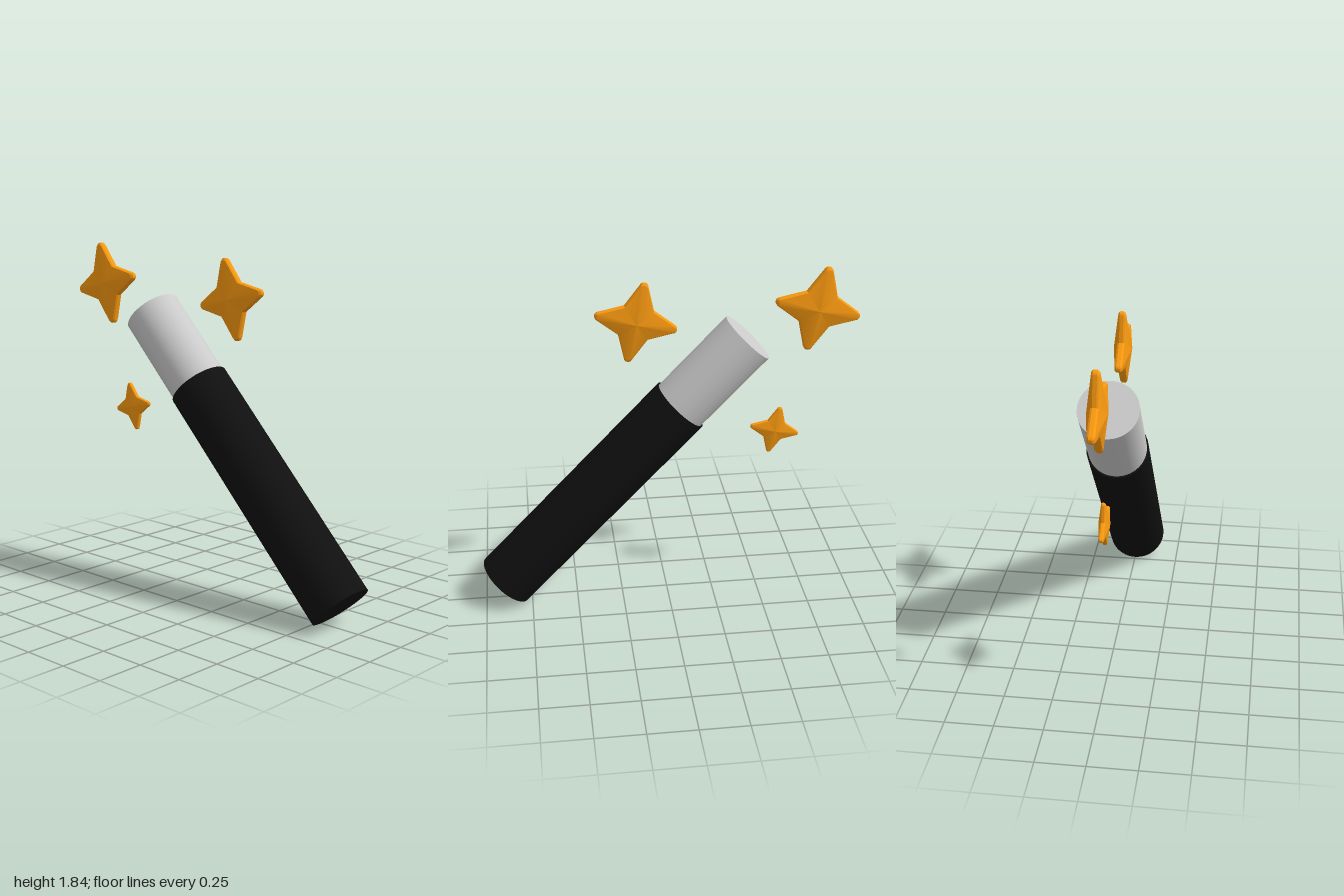
import * as THREE from 'three';
import { toCreasedNormals } from 'three/addons/utils/BufferGeometryUtils.js';

const black = new THREE.MeshStandardMaterial({ color: 0x101010 });
const grey = new THREE.MeshStandardMaterial({ color: 0xcccccc });
const gold = new THREE.MeshStandardMaterial({ color: 0xfa9a10 });

// Four-pointed star outline with blunt tips, arm length 1
function starOutline() {
  const arm = [[0.955, -0.085], [0.99, -0.05], [1, 0], [0.99, 0.05], [0.955, 0.085], [0.36, 0.36]];
  const points = [];
  for (let i = 0; i < 4; i++) {
    const c = Math.cos(i * Math.PI / 2), s = Math.sin(i * Math.PI / 2);
    for (const [x, y] of arm) points.push([x * c - y * s, x * s + y * c]);
  }
  return points;
}

// Star body: stacked outline loops with a softened rim, closed by a raised centre on each face
function starGeometry() {
  const outline = starOutline();
  const n = outline.length;
  const loops = [[0.95, -0.085], [1, -0.045], [1, 0.045], [0.95, 0.085]]; // scale, depth
  const positions = [], index = [];
  for (const [scale, z] of loops) for (const [x, y] of outline) positions.push(x * scale, y * scale, z);
  const back = loops.length * n, front = back + 1;
  positions.push(0, 0, -0.225, 0, 0, 0.225);
  const top = (loops.length - 1) * n;
  for (let i = 0; i < n; i++) {
    const j = (i + 1) % n;
    for (let k = 0; k < loops.length - 1; k++) {
      const a = k * n + i, b = k * n + j;
      index.push(a, b, b + n, a, b + n, a + n);
    }
    index.push(back, j, i, front, top + i, top + j);
  }
  const geometry = new THREE.BufferGeometry();
  geometry.setAttribute('position', new THREE.Float32BufferAttribute(positions, 3));
  geometry.setIndex(index);
  return toCreasedNormals(geometry, 0.3);
}

export function createModel() {
  const group = new THREE.Group();

  // Wand, leaning back along its axis
  const wand = new THREE.Group();
  wand.name = 'wand';
  wand.position.set(0, 0.112, 0.887);
  wand.rotation.x = -0.763;
  group.add(wand);

  const addRod = (name, radius, start, length, material) => {
    const mesh = new THREE.Mesh(new THREE.CylinderGeometry(radius, radius, length, 64), material);
    mesh.name = name;
    mesh.position.y = start + length / 2;
    wand.add(mesh);
  };
  addRod('handle', 0.162, 0, 1.388, black);
  addRod('tip', 0.153, 1.388, 0.502, grey);

  // Sparkles floating around the tip, lying in the side plane
  const geometry = starGeometry();
  geometry.rotateZ(-0.225);
  geometry.rotateY(Math.PI / 2);
  const stars = [
    ['largeStar', 1.617, -0.78, 0.226],
    ['mediumStar', 1.586, 0.156, 0.214],
    ['smallStar', 0.941, -0.578, 0.132],
  ];
  for (const [name, y, z, size] of stars) {
    const star = new THREE.Mesh(geometry, gold);
    star.name = name;
    star.position.set(0, y, z);
    star.scale.setScalar(size);
    group.add(star);
  }
  return group;
}
